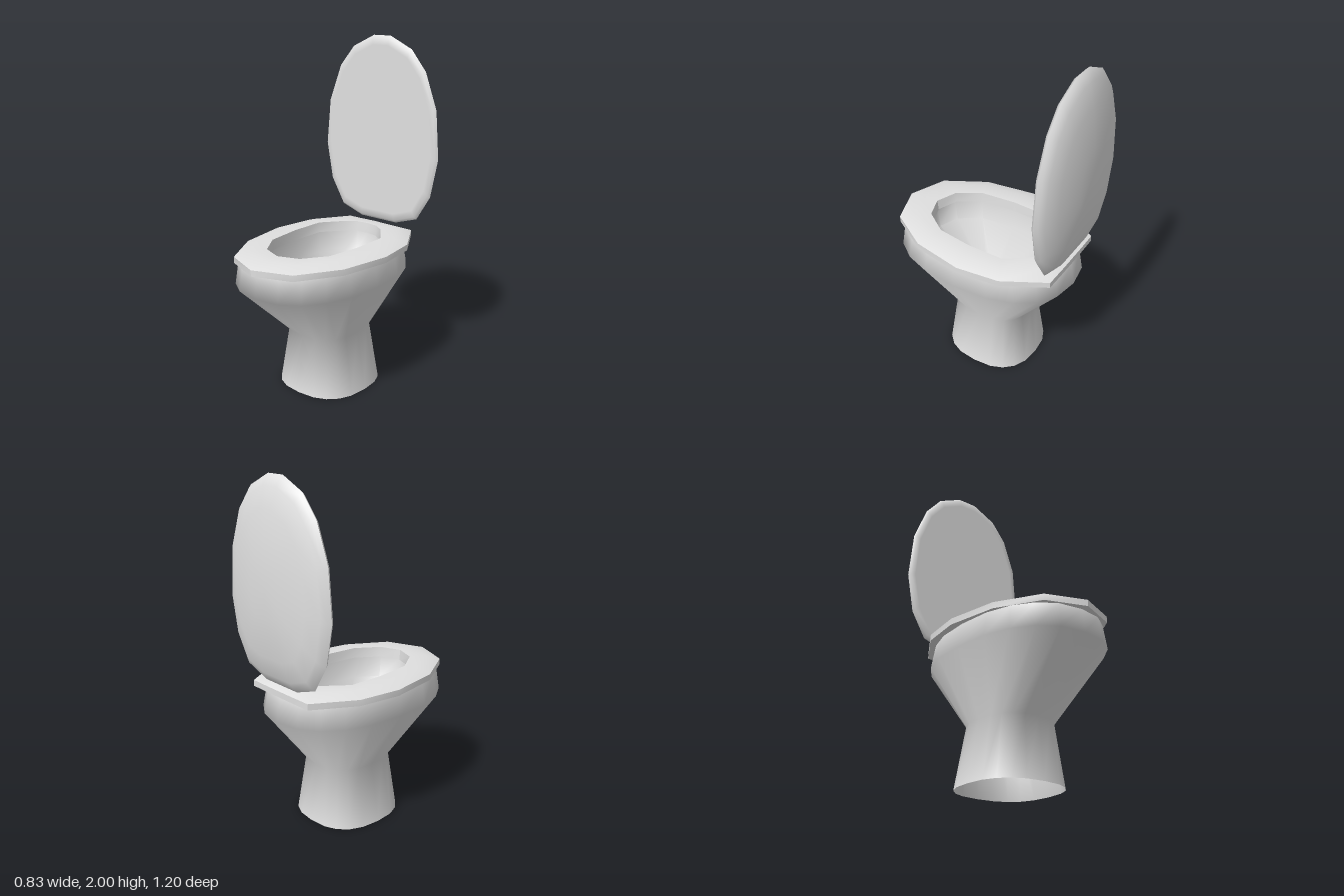
import * as THREE from 'three';
import { toCreasedNormals } from 'three/addons/utils/BufferGeometryUtils.js';

// Mirrors a half outline (+x side, starting and ending on x = 0) into a closed loop
function mirrorLoop(half) {
  return [...half, ...half.slice(1, -1).reverse().map(([x, z]) => [-x, z])];
}

// Squared ellipse between zBack and zFront
function squircle(halfX, zFront, zBack, power, count = 20) {
  const pts = [];
  const bend = (v) => Math.sign(v) * Math.pow(Math.abs(v), 2 / power);
  for (let i = 0; i < count; i++) {
    const a = (i / count) * Math.PI * 2;
    pts.push([halfX * bend(Math.sin(a)), (zFront + zBack) / 2 + ((zFront - zBack) / 2) * bend(Math.cos(a))]);
  }
  return pts;
}

const ring = (loop, y, sx = 1, sz = sx, cz = 0) => loop.map(([x, z]) => [x * sx, y, cz + (z - cz) * sz]);

// Skins a list of equal-length rings; optional closing face on the last ring
function loft(rings, { capEnd = false, capStart = false, wrap = false, crease = Math.PI } = {}) {
  const n = rings[0].length;
  const pos = rings.flat(2);
  const index = [];
  const spans = wrap ? rings.length : rings.length - 1;
  for (let r = 0; r < spans; r++) {
    const s = ((r + 1) % rings.length) * n;
    for (let i = 0; i < n; i++) {
      const j = (i + 1) % n;
      index.push(r * n + i, r * n + j, s + j, r * n + i, s + j, s + i);
    }
  }
  const cap = (r, flip) => {
    const c = pos.length / 3;
    for (let k = 0; k < 3; k++) pos.push(rings[r].reduce((t, p) => t + p[k], 0) / n);
    for (let i = 0; i < n; i++) {
      const a = r * n + i, b = r * n + ((i + 1) % n);
      index.push(...(flip ? [b, a, c] : [a, b, c]));
    }
  };
  if (capStart) cap(0, true);
  if (capEnd) cap(rings.length - 1, false);
  const geo = new THREE.BufferGeometry();
  geo.setAttribute('position', new THREE.Float32BufferAttribute(pos, 3));
  geo.setIndex(index);
  geo.computeVertexNormals();
  return crease < Math.PI ? toCreasedNormals(geo, crease) : geo;
}

export function createModel() {
  const group = new THREE.Group();
  const porcelain = new THREE.MeshStandardMaterial({ color: 0xe0e0e0, side: THREE.DoubleSide });
  porcelain.name = 'porcelain white';
  const add = (name, geo) => {
    const mesh = new THREE.Mesh(geo, porcelain);
    mesh.name = name;
    group.add(mesh);
    return mesh;
  };

  // Outer shell: flared foot, narrow waist, wide bowl
  add('bowlAndPedestal', loft([
    ring(squircle(0.27, 0.24, -0.32, 2.5), 0),
    ring(squircle(0.21, 0.2, -0.275, 2.5), 0.345),
    ring(squircle(0.39, 0.57, -0.545, 2.35), 0.69),
    ring(squircle(0.37, 0.55, -0.52, 2.35), 0.825),
  ]));

  // Seat outlines
  const outer = mirrorLoop([[0, 0.595], [0.22, 0.51], [0.36, 0.27], [0.41, -0.03],
    [0.375, -0.28], [0.235, -0.52], [0.1, -0.522], [0, -0.522]]);
  const inner = mirrorLoop([[0, 0.39], [0.12, 0.345], [0.21, 0.21], [0.235, 0],
    [0.23, -0.21], [0.13, -0.34], [0.07, -0.38], [0, -0.39]]);
  const crown = outer.map(([x, z], i) => [x + (inner[i][0] - x) * 0.45, z + (inner[i][1] - z) * 0.45]);

  // Seat ring with a bevelled upper edge
  add('seat', loft([
    ring(outer, 0.825), ring(outer, 0.86), ring(crown, 0.885),
    ring(inner, 0.885, 1.02), ring(inner, 0.825),
  ], { wrap: true, crease: 0.7 }));

  // Basin funnel down to a small floor
  const basinFloor = squircle(0.1, 0.085, -0.12, 2.6, inner.length);
  add('basin', loft([
    ring(inner, 0.83, 1.03), ring(inner, 0.7, 0.98), ring(basinFloor, 0.4),
  ], { capEnd: true, crease: 0.8 }));

  // Raised lid: flat front, domed back (built lying down, then stood up)
  const lidHalf = [[0, 2], [0.06, 2], [0.21, 1.93], [0.31, 1.81], [0.39, 1.6], [0.415, 1.32],
    [0.37, 1.09], [0.28, 0.94], [0.13, 0.89], [0, 0.89]];
  const lidLoop = mirrorLoop(lidHalf.map(([x, y]) => [x, y - 1.44]));
  const lid = add('lid', loft([
    [0.9, 0.488], [0.97, 0.488], [1, 0.505], [0.97, 0.522], [0.9, 0.543], [0.7, 0.573], [0.3, 0.6],
  ].map(([s, d]) => ring(lidLoop, d, s)), { capStart: true, capEnd: true, crease: 1.0 }));
  lid.rotation.x = -Math.PI / 2;
  lid.scale.z = -1;
  lid.scale.y = 1;
  lid.geometry.scale(1, -1, -1); // turns the outline upright without mirroring
  lid.geometry.rotateX(Math.PI / 2);
  lid.rotation.x = 0;
  lid.scale.set(1, 1, 1);
  lid.position.y = 1.44;
  return group;
}
